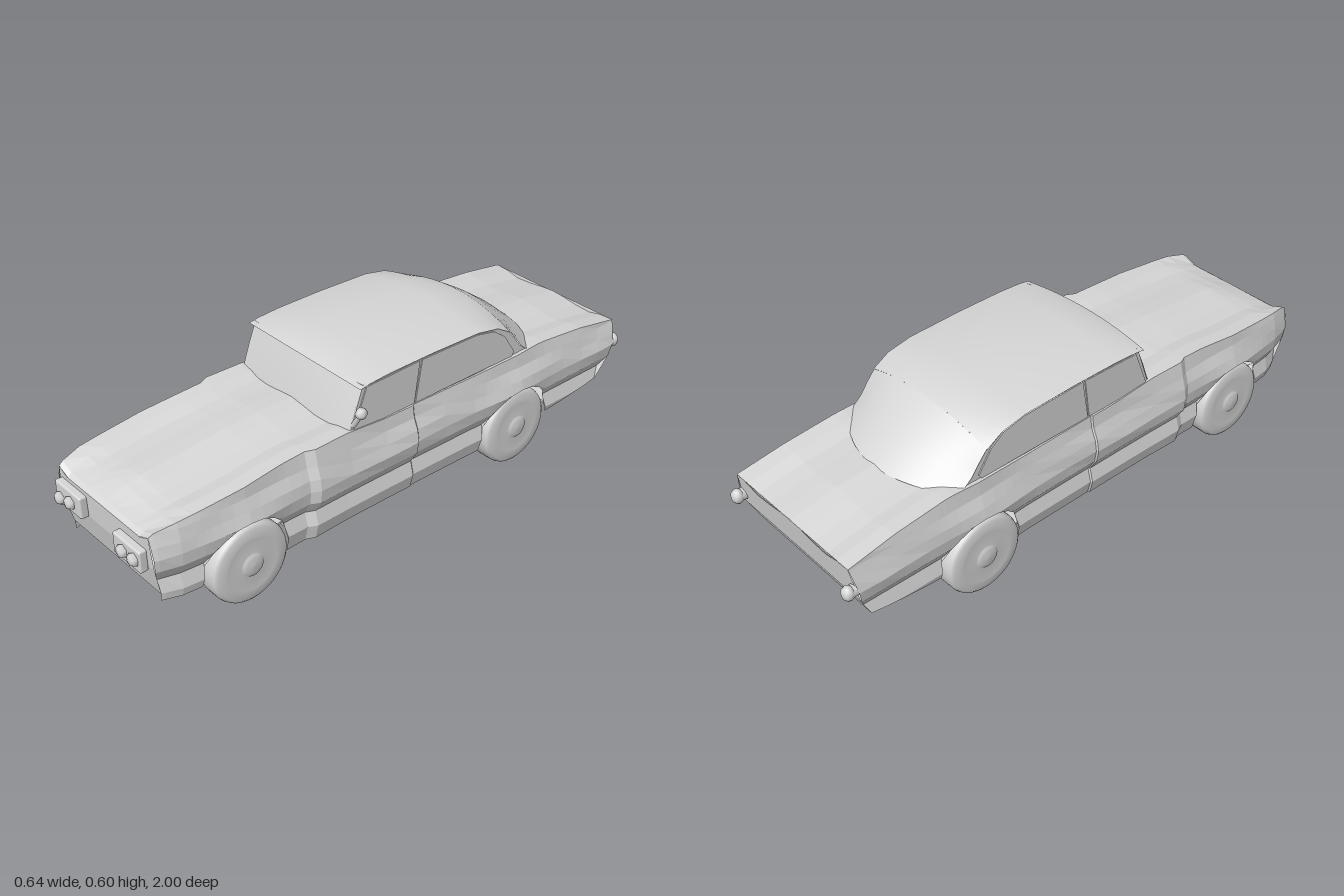
import * as THREE from 'three';
import { RoundedBoxGeometry } from 'three/addons/geometries/RoundedBoxGeometry.js';

const ARCHES = [0.64, -0.49], ARCH_R = 0.155, AXLE_Y = 0.14;

// Piecewise linear lookup in a table of [key, value], keys ascending
function lookup(table, k) {
  if (k <= table[0][0]) return table[0][1];
  for (let i = 1; i < table.length; i++) {
    const [k0, v0] = table[i - 1], [k1, v1] = table[i];
    if (k <= k1) return v0 + (v1 - v0) * (k - k0) / (k1 - k0);
  }
  return table[table.length - 1][1];
}

// Skin over rows of [x, y, z] points, faceted or smooth
function skin(rows, smooth = false) {
  const n = rows[0].length, index = [];
  for (let i = 0; i < rows.length - 1; i++) {
    for (let j = 0; j < n - 1; j++) {
      const a = i * n + j, b = a + 1, d = a + n, c = d + 1;
      index.push(a, d, b, b, d, c);
    }
  }
  let g = new THREE.BufferGeometry();
  g.setAttribute('position', new THREE.Float32BufferAttribute(rows.flat(2), 3));
  g.setIndex(index);
  if (!smooth) g = g.toNonIndexed();
  g.computeVertexNormals();
  return g;
}

// Body rules: half width, shoulder height, lower edge, flank shape and end slopes
const WIDTH = [[-0.97, 0.3], [-0.6, 0.303], [-0.49, 0.307], [-0.3, 0.298], [-0.025, 0.296], [-0.02, 0.301], [0.2, 0.3],
  [0.38, 0.304], [0.41, 0.288], [0.5, 0.288], [0.64, 0.293], [0.8, 0.282], [0.9, 0.272], [0.955, 0.25]];
const SHOULDER = [[-0.97, 0.375], [-0.8, 0.402], [-0.6, 0.42], [-0.3, 0.41], [0.1, 0.415], [0.3, 0.43],
  [0.5, 0.42], [0.7, 0.402], [0.87, 0.388], [0.94, 0.375], [0.955, 0.365]];
const LOWER = [[-0.97, 0.16], [-0.66, 0.13], [-0.64, 0.13], [-0.6, 0.1], [0.3, 0.1], [0.5, 0.09], [0.75, 0.12]];
const FLANK = [[0.09, 0.262], [0.15, 0.277], [0.2, 0.264], [0.245, 0.292], [0.29, 0.299], [0.33, 0.29], [0.37, 0.277], [0.43, 0.266]];
const TAIL_SLOPE = [[0.155, 0.068], [0.25, 0.022], [0.375, 0]];
const NOSE_SLOPE = [[0.15, -0.028], [0.255, -0.004], [0.345, 0]];
const LIP_DROP = 0.02;

function lowerEdge(z) {
  for (const c of ARCHES) {
    const d = Math.abs(z - c);
    if (d <= ARCH_R + 1e-6) return AXLE_Y + Math.sqrt(Math.max(0, ARCH_R ** 2 - d ** 2));
  }
  return lookup(LOWER, z);
}
const flankX = (y, z) => lookup(FLANK, y) * lookup(WIDTH, z) / 0.297;
// Nose and tail lean inward towards the bottom
function lean(y, z) {
  const tail = THREE.MathUtils.clamp((-0.7 - z) / 0.27, 0, 1);
  const nose = THREE.MathUtils.clamp((z - 0.85) / 0.1, 0, 1);
  return z + lookup(TAIL_SLOPE, y) * tail + lookup(NOSE_SLOPE, y) * nose;
}

function bodyRows() {
  const zs = [0.955, 0.94, 0.87, 0.82, 0.44, 0.41, 0.38, 0.25, 0.1, -0.02, -0.025, -0.15, -0.28, -0.7, -0.8, -0.89, -0.97];
  for (const c of ARCHES) {
    zs.push(c - ARCH_R - 0.003, c + ARCH_R + 0.003);
    for (let k = 0; k <= 10; k++) zs.push(c + ARCH_R * Math.cos(Math.PI * k / 10));
  }
  zs.sort((a, b) => b - a);
  return zs.map((z) => {
    const low = lowerEdge(z), top = lookup(SHOULDER, z);
    const half = [low, 0.15, 0.2, 0.245, 0.29, 0.33, 0.37, top].map((v, j) => {
      const y = Math.min(Math.max(v, low), top);
      const dent = j > 3 && j < 7 && Math.abs(z) < 0.9 ? 0.003 * Math.sin(z * 12 + j * 1.7) : 0;
      return [flankX(y, z) + dent, y, lean(y, z)];
    });
    // hood and boot lid with a raised centre and raised wing tops, lowered to a flat lip at the nose
    const w = flankX(top, z), relief = THREE.MathUtils.clamp((0.955 - z) / 0.14, 0, 1);
    const deck = (dy) => top + dy * relief - LIP_DROP * (1 - relief);
    for (const [f, dy] of [[0.8, -0.003], [0.62, -0.013], [0.4, -0.01], [0.2, -0.003]]) half.push([w * f, deck(dy), z]);
    const mirrored = half.map(([x, y, q]) => [-x, y, q]).reverse();
    return [...half, [0, deck(0.002), z], ...mirrored];
  });
}

// End panel across the car at a given station; the last row can rise at its corners
function endPanel(z, heights, cornerRise = 0) {
  return skin(heights.map((h, i) => [1, 0.8, 0, -0.8, -1].map((f) => {
    const y = i === heights.length - 1 && Math.abs(f) === 1 ? h + cornerRise : h;
    return [f * flankX(y, z), y, lean(y, z)];
  })));
}

// Roof and rear window: centre line and edge line as [z, y], blended across x
const ROOF = [
  [[0.215, 0.574], [0.2, 0.56]], [[0.17, 0.588], [0.16, 0.566]], [[0.08, 0.6], [0.08, 0.571]],
  [[-0.1, 0.602], [-0.1, 0.572]], [[-0.3, 0.598], [-0.3, 0.567]], [[-0.4, 0.585], [-0.39, 0.55]], [[-0.46, 0.566], [-0.45, 0.515]]];
const REAR_WINDOW = [ROOF[6], [[-0.52, 0.53], [-0.48, 0.48]], [[-0.59, 0.48], [-0.51, 0.44]], [[-0.67, 0.412], [-0.56, 0.4]]];
function crowned(lines, halfWidth) {
  return lines.map(([[zc, yc], [ze, ye]]) => {
    const row = [];
    for (let k = 8; k >= -8; k--) {
      const f = k / 8, b = f * f;
      row.push([f * halfWidth, yc + (ye - yc) * b, zc + (ze - zc) * b]);
    }
    return row;
  });
}

// Flat plate drawn in (z, y), standing on a side of the cabin
function sidePlate(points, depth) {
  const shape = new THREE.Shape(points.map(([z, y]) => new THREE.Vector2(z, y)));
  return new THREE.ExtrudeGeometry(shape, { depth, bevelEnabled: false }).rotateY(-Math.PI / 2);
}

export function createModel() {
  const car = new THREE.Group();
  car.name = 'car';
  const grey = new THREE.MeshStandardMaterial({ color: 0xd6d6d6, side: THREE.DoubleSide });
  grey.name = 'light grey';
  const add = (name, geometry, x = 0, y = 0, z = 0) => {
    const mesh = new THREE.Mesh(geometry, grey);
    mesh.name = name;
    mesh.position.set(x, y, z);
    car.add(mesh);
    return mesh;
  };

  // Body shell and ends
  add('bodyShell', skin(bodyRows()));
  add('frontPanel', endPanel(0.955, [0.148, 0.255, 0.345], LIP_DROP));
  add('rearPanel', endPanel(-0.97, [0.375, 0.25, 0.157]));

  // Underbody, narrow between the wheels and wide between the sills
  add('floor', new THREE.BoxGeometry(0.4, 0.008, 1.82), 0, 0.153, 0.012);
  add('middleFloor', new THREE.BoxGeometry(0.53, 0.008, 0.8), 0, 0.152, 0.06);
  add('frontFloor', new THREE.BoxGeometry(0.46, 0.008, 0.12), 0, 0.152, 0.86);
  add('rearFloor', new THREE.BoxGeometry(0.53, 0.008, 0.25), 0, 0.161, -0.775);

  // Cabin
  add('roof', skin(crowned(ROOF, 0.272), true));
  add('rearWindow', skin(crowned(REAR_WINDOW, 0.27), true));
  add('windshield', skin(crowned([
    [[0.252, 0.415], [0.238, 0.415]], [[0.228, 0.5], [0.212, 0.49]], [[0.2, 0.576], [0.182, 0.565]]], 0.262), true));
  const wall = [[0.24, 0.4], [0.182, 0.565], ...[...ROOF.slice(1), ...REAR_WINDOW.slice(1)].map((r) => r[1])];
  const frontGlass = [[0.225, 0.415], [0.17, 0.556], [-0.05, 0.562], [-0.03, 0.415]];
  const rearGlass = [[-0.035, 0.415], [-0.06, 0.562], [-0.3, 0.558], [-0.38, 0.541], [-0.43, 0.505], [-0.48, 0.43], [-0.47, 0.415]];
  for (const s of [1, -1]) {
    const side = s > 0 ? 'left' : 'right';
    const place = (name, points, x, depth) => add(side + name, sidePlate(points, depth), s > 0 ? x : -x + depth);
    place('CabinSide', wall, 0.263, 0.008);
    place('FrontWindow', frontGlass, 0.267, 0.005);
    place('RearWindow', rearGlass, 0.267, 0.005);
  }

  // Wheels with flat side walls, rim groove and domed hub
  const wheelProfile = [[0, -0.043], [0.128, -0.043], [0.137, -0.038], [0.14, -0.028], [0.14, 0.022], [0.136, 0.034],
    [0.126, 0.042], [0.095, 0.045], [0.093, 0.043], [0.042, 0.043], [0.038, 0.047], [0.025, 0.051], [0, 0.053]]
    .map(([r, h]) => new THREE.Vector2(r, h));
  const wheelGeometry = new THREE.LatheGeometry(wheelProfile, 40);
  for (const s of [1, -1]) {
    ARCHES.forEach((z, i) => {
      const x = s > 0 ? 0.248 : i ? -0.262 : -0.242;
      const wheel = add((s > 0 ? 'left' : 'right') + (i ? 'RearWheel' : 'FrontWheel'), wheelGeometry, x, AXLE_Y, z);
      wheel.rotation.z = -s * Math.PI / 2;
    });
  }

  // Headlights: a rounded plate with two six-sided lamps
  const lampGeometry = new THREE.SphereGeometry(0.024, 6, 4).rotateX(Math.PI / 2).rotateZ(Math.PI / 6).scale(1, 1, 0.7);
  const clusters = [
    ['right', -0.161, 0.291, [[-0.2, 0.278], [-0.143, 0.291]]],
    ['left', 0.148, 0.275, [[0.133, 0.275], [0.19, 0.278]]]];
  for (const [side, x, y, lamps] of clusters) {
    add(side + 'HeadlightPlate', new RoundedBoxGeometry(0.138, 0.077, 0.03, 2, 0.007), x, y, 0.964);
    for (const [lx, ly] of lamps) add(side + 'Headlight', lampGeometry, lx, ly, 0.983);
  }

  // Tail lights on short stems
  for (const s of [1, -1]) {
    const side = s > 0 ? 'left' : 'right';
    add(side + 'TailLight', new THREE.SphereGeometry(0.026, 8, 6).scale(0.9, 1, 0.8), s * 0.28, 0.292, -0.979);
    add(side + 'TailLightStem', new THREE.CylinderGeometry(0.02, 0.02, 0.05, 8).rotateX(Math.PI / 2), s * 0.28, 0.292, -0.955);
  }

  // Single door mirror
  const arm = add('mirrorArm', new THREE.CylinderGeometry(0.009, 0.009, 0.08, 8), 0.283, 0.47, 0.22);
  arm.rotation.z = -0.55;
  add('mirrorHead', new THREE.SphereGeometry(0.02, 6, 5).rotateX(Math.PI / 2), 0.301, 0.5, 0.222);

  return car;
}
